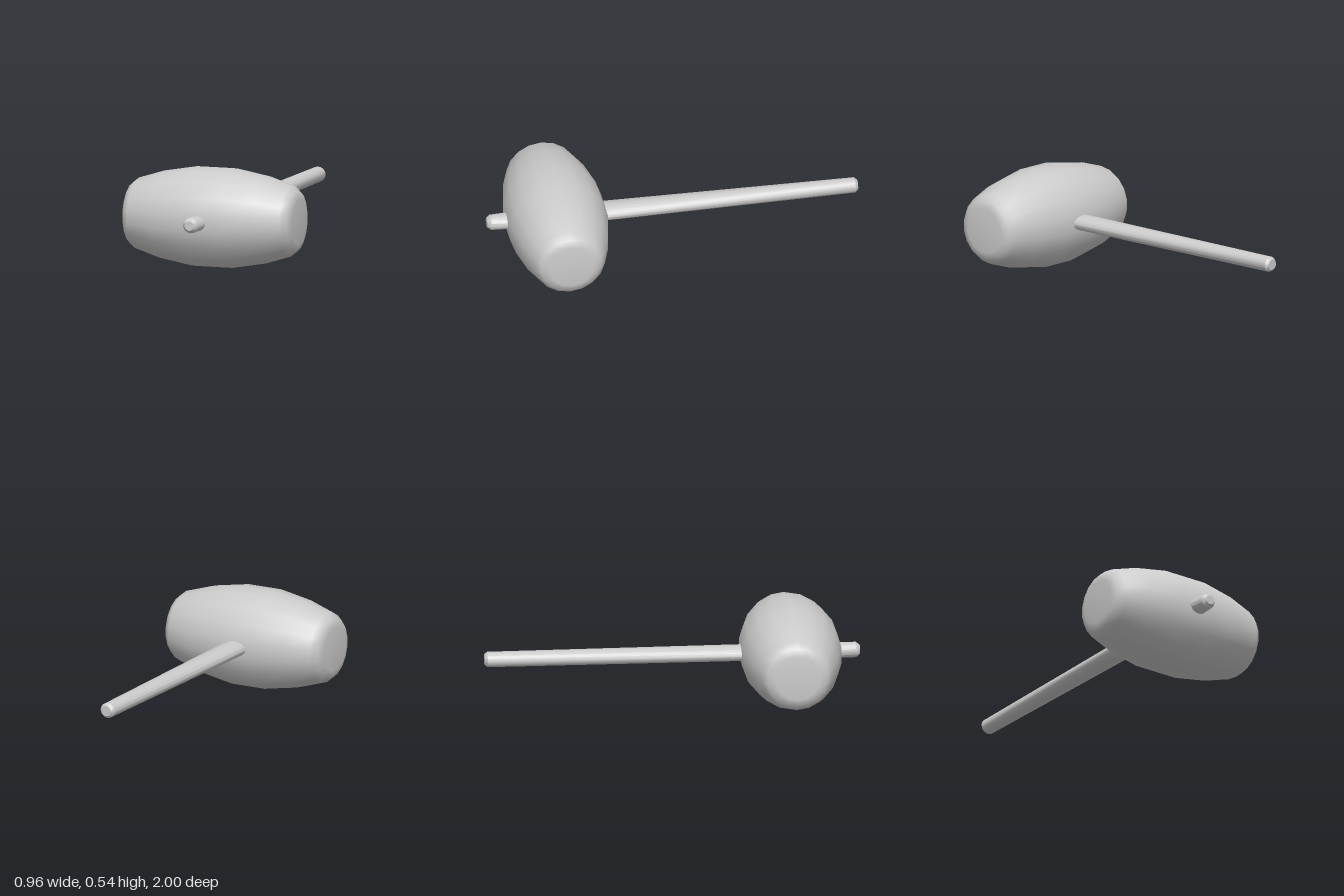
import * as THREE from 'three';
import { toCreasedNormals } from 'three/addons/utils/BufferGeometryUtils.js';

const material = new THREE.MeshStandardMaterial({ color: 0xcccccc });
const points = (list) => list.map(([r, h]) => new THREE.Vector2(r, h));

// Barrel-shaped head, turned around the x axis
function createHead() {
  const half = [[0.268, 0.1], [0.235, 0.287], [0.19, 0.43], [0.162, 0.464], [0.12, 0.48], [0, 0.48]];
  const mirrored = half.map(([r, h]) => [r, -h]).reverse();
  const geometry = new THREE.LatheGeometry(points([...mirrored, ...half]), 18, Math.PI / 2);
  geometry.rotateZ(-Math.PI / 2);
  const head = new THREE.Mesh(geometry, material);
  head.name = 'head';
  head.position.set(0, 0.27, 0.63);
  return head;
}

// Oval handle: constant height, widest where it passes through the head
function createHandle() {
  const profile = [[0, -1], [0.028, -1], [0.041, -0.985], [0.041, 0.63], [0.041, 0.98], [0.025, 1], [0, 1]];
  const geometry = new THREE.LatheGeometry(points(profile), 16);
  geometry.rotateX(Math.PI / 2);
  const position = geometry.attributes.position;
  for (let i = 0; i < position.count; i++) {
    const widen = Math.abs(position.getZ(i) - 0.63) < 0.01 ? 1.9 : 1.04;
    position.setX(i, position.getX(i) * widen);
  }
  const handle = new THREE.Mesh(toCreasedNormals(geometry, 0.6), material);
  handle.name = 'handle';
  handle.position.set(-0.01, 0.272, 0);
  return handle;
}

export function createModel() {
  const mallet = new THREE.Group();
  mallet.name = 'mallet';
  mallet.add(createHead(), createHandle());
  return mallet;
}
